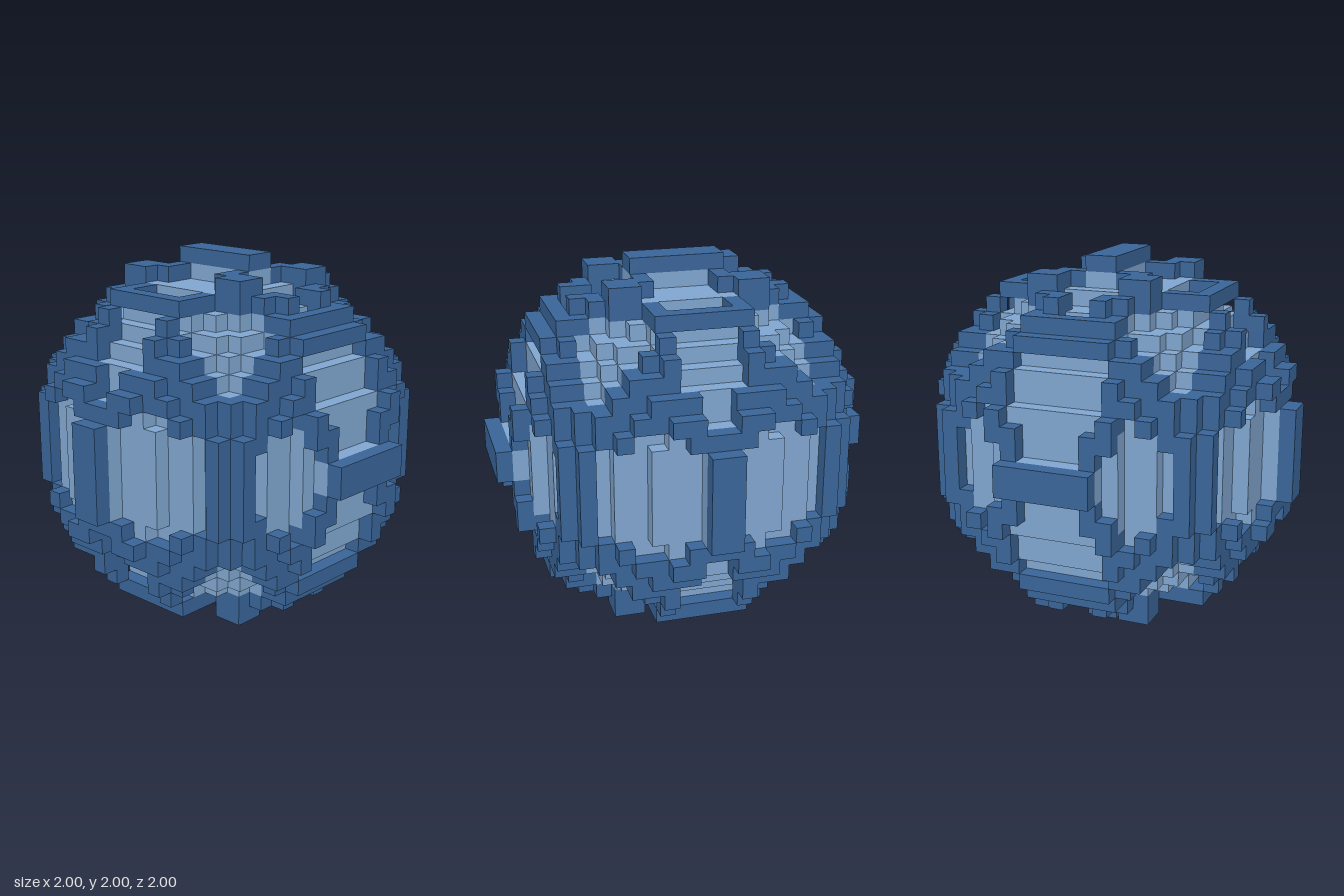
import * as THREE from 'three';
import { mergeGeometries } from 'three/addons/utils/BufferGeometryUtils.js';

const HALF = 12;            // voxels per half side
const SIZE = 1 / HALF;      // voxel edge length
const INNER = 110, OUTER = 139; // squared radii of the core and the raised ribs

// Panels sunk into the shell: [u0, u1, v0, v1] in voxels, cut along one axis, mirrored everywhere
const PANELS = {
  z: [ // u = x, v = y
    [0, 2, 1, 3], [0, 3, 3, 7],                              // hexagon
    [3, 4, 0, 2], [4, 5, 0, 4], [5, 6, 0, 3], [6, 7, 0, 2],  // pentagon
    [6, 7, 5, 9], [5, 6, 6, 9], [4, 5, 7, 9], [3, 4, 8, 9],  // corner hexagon
  ],
  x: [ // u = z, v = y
    [1, 2, 0, 3], [2, 5, 0, 4], [5, 7, 0, 3],
    [0, 1, 4, 6], [0, 2, 6, 9],
    [6, 7, 5, 8], [5, 6, 6, 9], [4, 5, 7, 9],
  ],
  y: [ // u = x, v = z
    [1, 6, 0, 2], [3, 4, 2, 3],
    [0, 2, 3, 5], [0, 1, 5, 7],
    [4, 7, 3, 7], [3, 4, 5, 7],
  ],
};
const DENTS = ['4,10,2', '9,6,2', '2,9,6', '6,2,9']; // single missing rib voxels
const KNOB = '3,10,4';                               // rib corner standing proud of the sphere

const inside = (list, u, v) => list.some(([a, b, c, d]) => u >= a && u < b && v >= c && v < d);
const fold = (i) => (i < 0 ? -1 - i : i); // mirror an index into the positive octant

// Short backing bars below the six outermost ribs
const onBackingBar = (x, y, z) =>
  (z === 10 && x < 3 && y < 1) || (x === 10 && y < 3 && z < 1) || (y === 10 && z < 3 && x < 1);

// 'rib', 'panel' or null for an empty cell
function cell(i, j, k) {
  const x = fold(i), y = fold(j), z = fold(k);
  const r2 = (x + 0.5) ** 2 + (y + 0.5) ** 2 + (z + 0.5) ** 2;
  const key = `${x},${y},${z}`;
  if (r2 < INNER || onBackingBar(x, y, z)) return 'panel';
  if (key === KNOB) return 'rib';
  if (r2 > OUTER || DENTS.includes(key)) return null;
  const sunk = inside(PANELS.z, x, y) || inside(PANELS.x, z, y) || inside(PANELS.y, x, z);
  return sunk ? null : 'rib';
}

// One square face template per direction
function faceTemplates() {
  const make = (dir, rx, ry) => ({
    dir,
    geometry: new THREE.PlaneGeometry(SIZE, SIZE)
      .translate(0, 0, SIZE / 2).rotateX(rx).rotateY(ry),
  });
  const q = Math.PI / 2;
  return [
    make([0, 0, 1], 0, 0), make([0, 0, -1], 0, Math.PI),
    make([1, 0, 0], 0, q), make([-1, 0, 0], 0, -q),
    make([0, 1, 0], -q, 0), make([0, -1, 0], q, 0),
  ];
}

export function createModel() {
  const group = new THREE.Group();
  group.name = 'panelledVoxelBall';

  const ribBlue = new THREE.MeshStandardMaterial({ color: 0x396598 });
  ribBlue.name = 'ribBlue';
  const panelBlue = new THREE.MeshStandardMaterial({ color: 0x80a6d0 });
  panelBlue.name = 'panelBlue';

  // Collect only the exposed voxel faces
  const faces = { rib: [], panel: [] };
  const templates = faceTemplates();
  for (let i = -HALF; i < HALF; i++)
    for (let j = -HALF; j < HALF; j++)
      for (let k = -HALF; k < HALF; k++) {
        const kind = cell(i, j, k);
        if (!kind) continue;
        for (const { dir, geometry } of templates) {
          if (cell(i + dir[0], j + dir[1], k + dir[2])) continue;
          faces[kind].push(geometry.clone().translate(
            (i + 0.5) * SIZE, (j + 0.5) * SIZE + 1, (k + 0.5) * SIZE));
        }
      }

  // Raised ribs and the sunken core panels
  const ribs = new THREE.Mesh(mergeGeometries(faces.rib), ribBlue);
  ribs.name = 'raisedRibs';
  const panels = new THREE.Mesh(mergeGeometries(faces.panel), panelBlue);
  panels.name = 'sunkenPanels';
  group.add(ribs, panels);
  return group;
}
